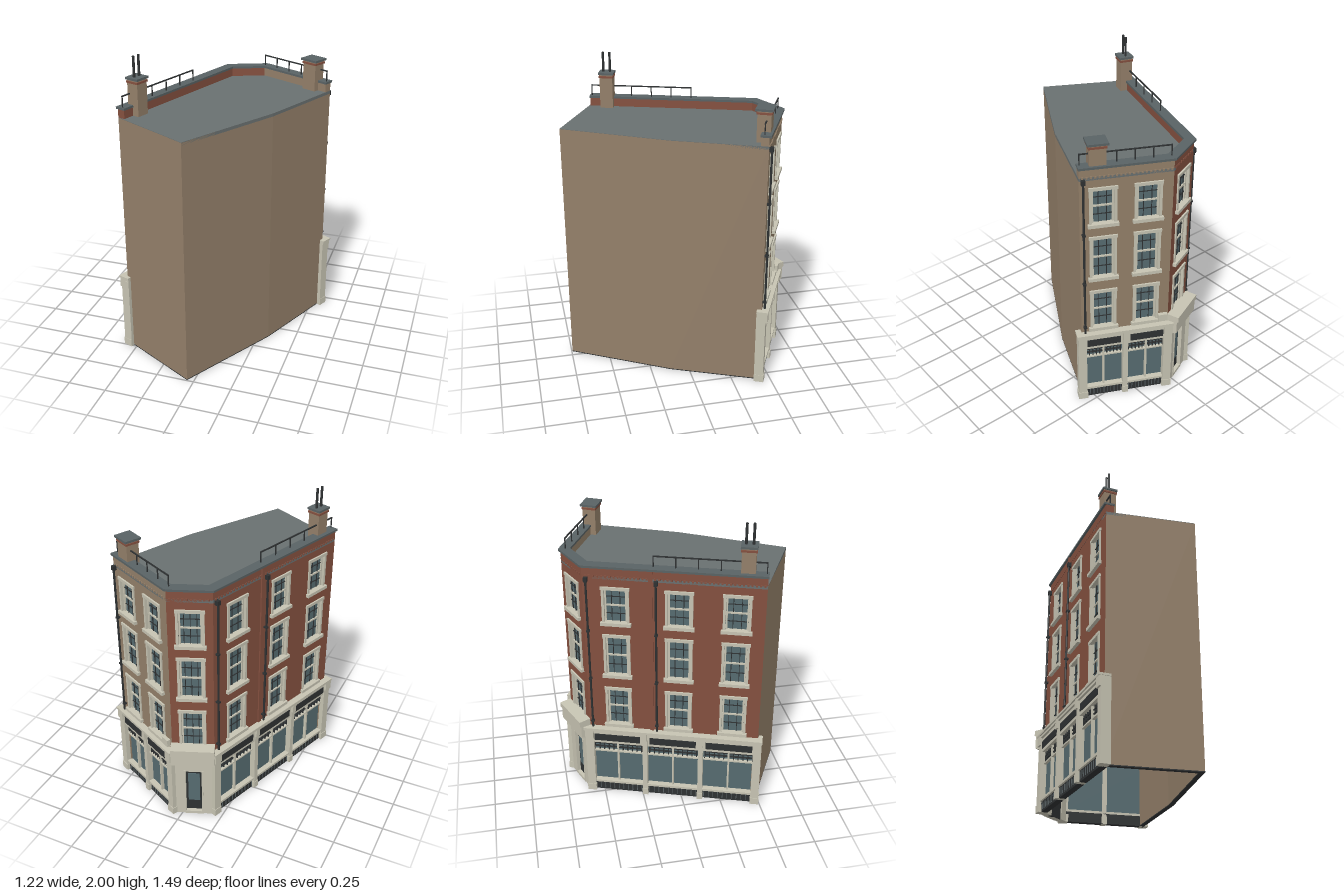
import * as THREE from 'three';

const mat = (color) => new THREE.MeshStandardMaterial({ color, flatShading: true });
const M = {
  tan: mat(0x937f69), red: mat(0x84503f), roof: mat(0x697070), cream: mat(0xc6c3b2),
  dark: mat(0x2e3132), glass: mat(0x566b70), cap: mat(0x596264),
};

// Footprint corners as [x, z]
const A = [-0.55, 0.475], B = [-0.045, 0.745], C = [0.32, 0.12];
const D = [0.56, -0.425], E = [0.06, -0.675], F = [-0.19, -0.575];
const ROOF = 1.63, TOP = 1.69, SHOP = 0.5;
const FLOORS = [[0.56, 0.83], [0.94, 1.22], [1.32, 1.55]];

function box(parent, name, m, x0, x1, y0, y1, z0, z1) {
  const mesh = new THREE.Mesh(new THREE.BoxGeometry(x1 - x0, y1 - y0, z1 - z0), m);
  mesh.position.set((x0 + x1) / 2, (y0 + y1) / 2, (z0 + z1) / 2);
  mesh.name = name;
  parent.add(mesh);
  return mesh;
}

function pipe(parent, name, x, z, y0, y1, r) {
  const mesh = new THREE.Mesh(new THREE.CylinderGeometry(r, r, y1 - y0, 8), M.dark);
  mesh.position.set(x, (y0 + y1) / 2, z);
  mesh.name = name;
  parent.add(mesh);
}

// Group whose x runs from P to Q and whose z points out of the building
function side(parent, name, P, Q) {
  const g = new THREE.Group();
  g.name = name;
  g.position.set(P[0], 0, P[1]);
  g.rotation.y = -Math.atan2(Q[1] - P[1], Q[0] - P[0]);
  g.userData.len = Math.hypot(Q[0] - P[0], Q[1] - P[1]);
  parent.add(g);
  return g;
}

function sashWindow(parent, cx, w, y0, y1, cols) {
  const g = new THREE.Group();
  g.name = 'sashWindow';
  g.position.x = cx;
  parent.add(g);
  const h = w / 2, f = 0.016, mid = (y0 + y1) / 2;
  box(g, 'pane', M.glass, -h, h, y0, y1, -0.03, -0.02);
  for (const s of [-1, 1]) {
    box(g, 'jamb', M.cream, s * h - f / 2, s * h + f / 2, y0, y1, -0.03, 0.008);
    box(g, 'innerStile', M.cream, s * (h - 0.014) - 0.005, s * (h - 0.014) + 0.005, y0, y1, -0.03, -0.01);
  }
  box(g, 'lintel', M.cream, -h - 0.012, h + 0.012, y1 - 0.006, y1 + 0.014, -0.03, 0.011);
  box(g, 'sill', M.cream, -h - 0.018, h + 0.018, y0 - 0.018, y0 + 0.004, -0.03, 0.022);
  box(g, 'meetingRail', M.cream, -h, h, mid - 0.005, mid + 0.005, -0.03, -0.01);
  for (let i = 1; i < cols; i++) {
    const x = -h + (w * i) / cols;
    box(g, 'verticalBar', M.dark, x - 0.002, x + 0.002, y0, y1, -0.02, -0.014);
  }
  for (const t of [0.25, 0.75]) {
    const y = y0 + (y1 - y0) * t;
    box(g, 'horizontalBar', M.dark, -h, h, y - 0.002, y + 0.002, -0.02, -0.014);
  }
}

// Upper wall with pierced windows, coping and a dentil course
function upperWall(g, m, centres, w, cols) {
  const L = g.userData.len;
  const s = new THREE.Shape([[0, SHOP], [L, SHOP], [L, TOP], [0, TOP]].map((p) => new THREE.Vector2(...p)));
  for (const cx of centres) for (const [y0, y1] of FLOORS) {
    s.holes.push(new THREE.Path([[-1, y0], [-1, y1], [1, y1], [1, y0]]
      .map(([k, y]) => new THREE.Vector2(cx + (k * w) / 2, y))));
    sashWindow(g, cx, w, y0, y1, cols);
  }
  const wall = new THREE.Mesh(new THREE.ExtrudeGeometry(s, { depth: 0.05, bevelEnabled: false }), m);
  wall.position.z = -0.05;
  wall.name = 'upperWall';
  g.add(wall);
  box(g, 'coping', M.cap, -0.004, L + 0.004, TOP - 0.004, TOP + 0.01, -0.055, 0.013);
  for (let x = 0.02; x < L - 0.01; x += 0.025) box(g, 'dentil', m, x - 0.006, x + 0.006, 1.625, 1.637, 0, 0.005);
}

// Glazed shopfront divided into equal bays
function shopfront(g, bays) {
  const L = g.userData.len, step = L / bays;
  box(g, 'fascia', M.cream, -0.02, L + 0.01, 0.405, SHOP, -0.03, 0.022);
  box(g, 'cornice', M.cream, -0.03, L + 0.025, SHOP, 0.515, -0.03, 0.036);
  box(g, 'corniceTop', M.cream, -0.035, L + 0.03, 0.515, 0.53, -0.03, 0.046);
  box(g, 'stallRiser', M.dark, 0, L, 0, 0.07, -0.03, 0.012);
  box(g, 'shopGlass', M.glass, 0, L, 0.07, 0.405, -0.025, -0.012);
  for (let i = 0; i <= bays; i++) {
    const x = i * step, end = i === 0 || i === bays;
    const h = end ? 0.027 : 0.016;
    box(g, 'pilaster', M.cream, x - h, x + h, 0, SHOP, -0.03, 0.03);
    box(g, 'pilasterFoot', M.cream, x - h - 0.003, x + h + 0.003, 0, 0.05, -0.03, 0.034);
    box(g, 'bracket', M.cream, x - h, x + h, 0.45, 0.515, 0, 0.042);
  }
  for (let i = 0; i < bays; i++) {
    const x0 = i * step + 0.027, x1 = (i + 1) * step - 0.027, w = x1 - x0;
    box(g, 'fasciaPanel', M.dark, x0 + 0.005, x1 - 0.005, 0.425, 0.475, 0, 0.026);
    box(g, 'shopSill', M.cream, x0 - 0.01, x1 + 0.01, 0.068, 0.084, -0.03, 0.025);
    box(g, 'transom', M.cream, x0 - 0.01, x1 + 0.01, 0.322, 0.332, -0.02, 0.008);
    box(g, 'mullion', M.cream, (x0 + x1) / 2 - 0.006, (x0 + x1) / 2 + 0.006, 0.07, 0.405, -0.02, 0.008);
    for (let k = 0; k <= 10; k++) {
      const x = x0 + (w * k) / 10;
      box(g, 'transomBar', M.dark, x - 0.003, x + 0.003, 0.332, 0.405, -0.015, 0);
      box(g, 'riserBar', M.cap, x - 0.002, x + 0.002, 0.012, 0.06, 0, 0.016);
    }
    for (const y of [0.357, 0.382]) box(g, 'transomBar', M.dark, x0, x1, y - 0.003, y + 0.003, -0.015, 0);
  }
}

function railing(g, x0, x1, n) {
  for (let i = 0; i <= n; i++) {
    const x = x0 + ((x1 - x0) * i) / n;
    box(g, 'railingPost', M.dark, x - 0.003, x + 0.003, TOP, 1.77, -0.033, -0.027);
  }
  box(g, 'handrail', M.dark, x0 - 0.003, x1 + 0.003, 1.765, 1.772, -0.034, -0.026);
}

function chimney(parent, x, z, angle, w, d, top, overhang, flues) {
  const g = new THREE.Group();
  g.name = 'chimney';
  g.position.set(x, 0, z);
  g.rotation.y = angle;
  parent.add(g);
  const block = (name, m, o, y0, y1) => box(g, name, m, -w / 2 - o, w / 2 + o, y0, y1, -d / 2 - o, d / 2 + o);
  block('stack', M.tan, 0, ROOF, top - 0.01);
  block('brickBand', M.red, 0.005, top - 0.035, top - 0.022);
  block('chimneyCap', M.cap, overhang, top - 0.014, top);
  for (const k of flues) pipe(g, 'flue', k, 0, top, 2, 0.008);
}

export function createModel() {
  const model = new THREE.Group();
  model.name = 'cornerBuilding';

  // Plain party walls, open underneath
  for (const [P, Q] of [[A, B], [B, C], [C, D]]) {
    const g = side(model, 'partyWall', P, Q);
    box(g, 'plainWall', M.tan, 0, g.userData.len, 0.006, ROOF, -0.03, 0);
    box(g, 'wallFoot', M.dark, 0, g.userData.len, 0, 0.006, -0.03, 0);
  }

  // Flat roof
  const shape = new THREE.Shape([A, B, C, D, E, F].map(([x, z]) => new THREE.Vector2(x, -z)));
  const roof = new THREE.Mesh(new THREE.ExtrudeGeometry(shape, { depth: 0.02, bevelEnabled: false }), M.roof);
  roof.rotation.x = -Math.PI / 2;
  roof.position.y = ROOF - 0.018;
  roof.name = 'roof';
  model.add(roof);

  // Long brick facade
  const long = side(model, 'longFacade', F, A);
  const L = long.userData.len;
  upperWall(long, M.red, [0.2, 0.59, 0.94], 0.155, 3);
  shopfront(long, 3);
  railing(long, 0.43, L - 0.01, 5);
  box(long, 'brickPier', M.red, 0.405, 0.43, 0.53, TOP, 0, 0.009);

  // Short facade
  const short = side(model, 'shortFacade', D, E);
  upperWall(short, M.tan, [0.14, 0.41], 0.15, 3);
  shopfront(short, 2);
  railing(short, 0.01, short.userData.len - 0.01, 5);
  box(short, 'smallSign', M.cream, 0.49, 0.55, 0.55, 0.6, 0.005, 0.03);

  // Downpipes with collars
  for (const [g, x] of [[long, 0.025], [long, 0.45], [short, 0.022]]) {
    pipe(g, 'downpipe', x, 0.015, 0.53, 1.61, 0.007);
    box(g, 'hopper', M.dark, x - 0.012, x + 0.012, 1.595, 1.625, 0, 0.025);
    for (const y of [0.57, 0.9, 1.25]) box(g, 'pipeCollar', M.dark, x - 0.01, x + 0.01, y, y + 0.012, 0, 0.024);
  }

  // Chamfered corner with the entrance
  const corner = side(model, 'cornerFacade', E, F);
  const W = corner.userData.len, c = W / 2;
  upperWall(corner, M.red, [c], 0.155, 4);
  for (const s of [-1, 1]) {
    const x = c + s * 0.1;
    box(corner, 'doorPier', M.cream, x - 0.04, x + 0.04, 0, SHOP, -0.03, 0.022);
    box(corner, 'doorJamb', M.cream, c + s * 0.058 - 0.006, c + s * 0.058 + 0.006, 0, 0.37, -0.02, 0.026);
  }
  box(corner, 'doorHead', M.cream, c - 0.07, c + 0.07, 0.36, SHOP, -0.03, 0.022);
  box(corner, 'door', M.dark, c - 0.06, c + 0.06, 0, 0.36, -0.025, 0);
  box(corner, 'doorGlass', M.glass, c - 0.038, c + 0.038, 0.1, 0.33, 0, 0.004);
  box(corner, 'doorstep', M.cream, c - 0.06, c + 0.06, 0, 0.02, -0.02, 0.026);

  // Projecting header over the entrance, splayed below
  const profile = new THREE.Shape([[0, 0.42], [0.04, 0.44], [0.068, 0.45], [0.068, 0.535], [0.078, 0.54],
    [0.078, 0.575], [0, 0.58]].map((p) => new THREE.Vector2(...p)));
  const header = new THREE.Mesh(new THREE.ExtrudeGeometry(profile, { depth: W + 0.01, bevelEnabled: false }), M.cream);
  header.rotation.y = -Math.PI / 2;
  header.position.set(W + 0.005, 0, 0);
  header.name = 'entranceHeader';
  // Mirror so the profile faces outward
  header.rotation.y = -Math.PI / 2;
  model.updateMatrixWorld(true);
  corner.add(header);

  // Chimneys
  chimney(model, -0.46, 0.38, long.rotation.y, 0.085, 0.08, 1.87, 0.008, [-0.022, 0.022]);
  chimney(model, 0.44, -0.435, short.rotation.y + Math.PI, 0.1, 0.085, 1.84, 0.012, []);
  return model;
}
